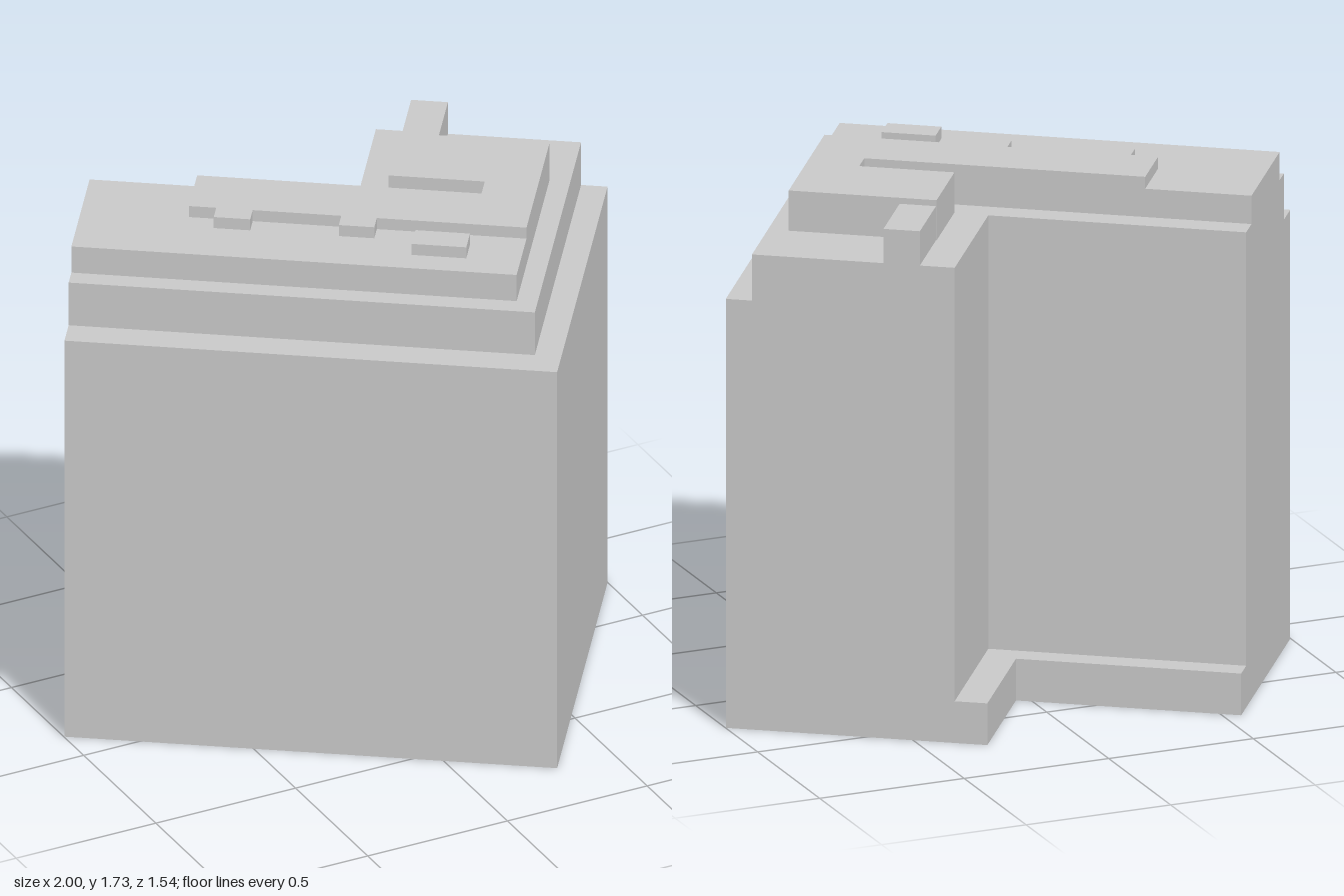
import * as THREE from 'three';

const material = new THREE.MeshStandardMaterial({ color: 0xcccccc, flatShading: true });

// Upright prism over a plan outline; plan = [along the facade, depth from the facade]
function slab(name, plan, y0, y1) {
  const shape = new THREE.Shape(plan.map(([p, q]) => new THREE.Vector2(p, q)));
  const geometry = new THREE.ExtrudeGeometry(shape, { depth: y1 - y0, bevelEnabled: false });
  geometry.rotateX(-Math.PI / 2).translate(0, y0, 0);
  const mesh = new THREE.Mesh(geometry, material);
  mesh.name = name;
  return mesh;
}

const rect = (p0, q0, p1, q1) => [[p0, q0], [p1, q0], [p1, q1], [p0, q1]];

// L-shaped plan: a long front bar with a wing reaching back at the far end
const ell = (front, end, barBack, wingStart, wingBack) => [
  [0, front], [end, front], [end, wingBack], [wingStart, wingBack], [wingStart, barBack], [0, barBack],
];

export function createModel() {
  const WIDTH = 1.58, DEPTH = 1.226;
  const building = new THREE.Group();
  building.name = 'building';

  building.add(
    // Base plinth, main storeys and the set-back upper storey
    slab('plinth', ell(0, WIDTH, 0.774, 0.731, DEPTH), 0, 0.14),
    slab('mainBlock', ell(0, WIDTH, 0.695, 0.837, DEPTH), 0.14, 1.44),
    slab('setbackStorey', ell(0.102, 1.495, 0.695, 0.837, DEPTH), 1.44, 1.595),

    // Rooftop storey, with a narrow slot between the front bar and the wing
    slab('roofStorey', [
      [0, 0.168], [1.428, 0.168], [1.428, 0.972], [0.948, 0.972],
      [0.948, 0.69], [1.257, 0.69], [1.257, 0.611], [0, 0.611],
    ], 1.595, 1.69),

    // Raised roof core with two small projecting shafts
    slab('roofCore', [
      [0.345, 0.408], [0.433, 0.408], [0.433, 0.347], [0.55, 0.347], [0.55, 0.408],
      [0.834, 0.408], [0.834, 0.347], [0.948, 0.347], [0.948, 0.408], [1.428, 0.408],
      [1.428, 0.972], [0.948, 0.972], [0.948, 0.69], [1.257, 0.69], [1.257, 0.611], [0.345, 0.611],
    ], 1.69, 1.73),

    // Small roof volumes
    slab('roofHatch', rect(1.08, 0.255, 1.255, 0.346), 1.69, 1.73),
    slab('rearStairHousing', rect(0.95, 0.972, 1.068, DEPTH), 1.595, 1.71),
  );

  // Turn the plan so the facade runs diagonally
  building.rotation.y = -0.608;
  building.position.set(-0.998, 0, -0.137);

  const model = new THREE.Group();
  model.name = 'model';
  model.add(building);
  return model;
}
